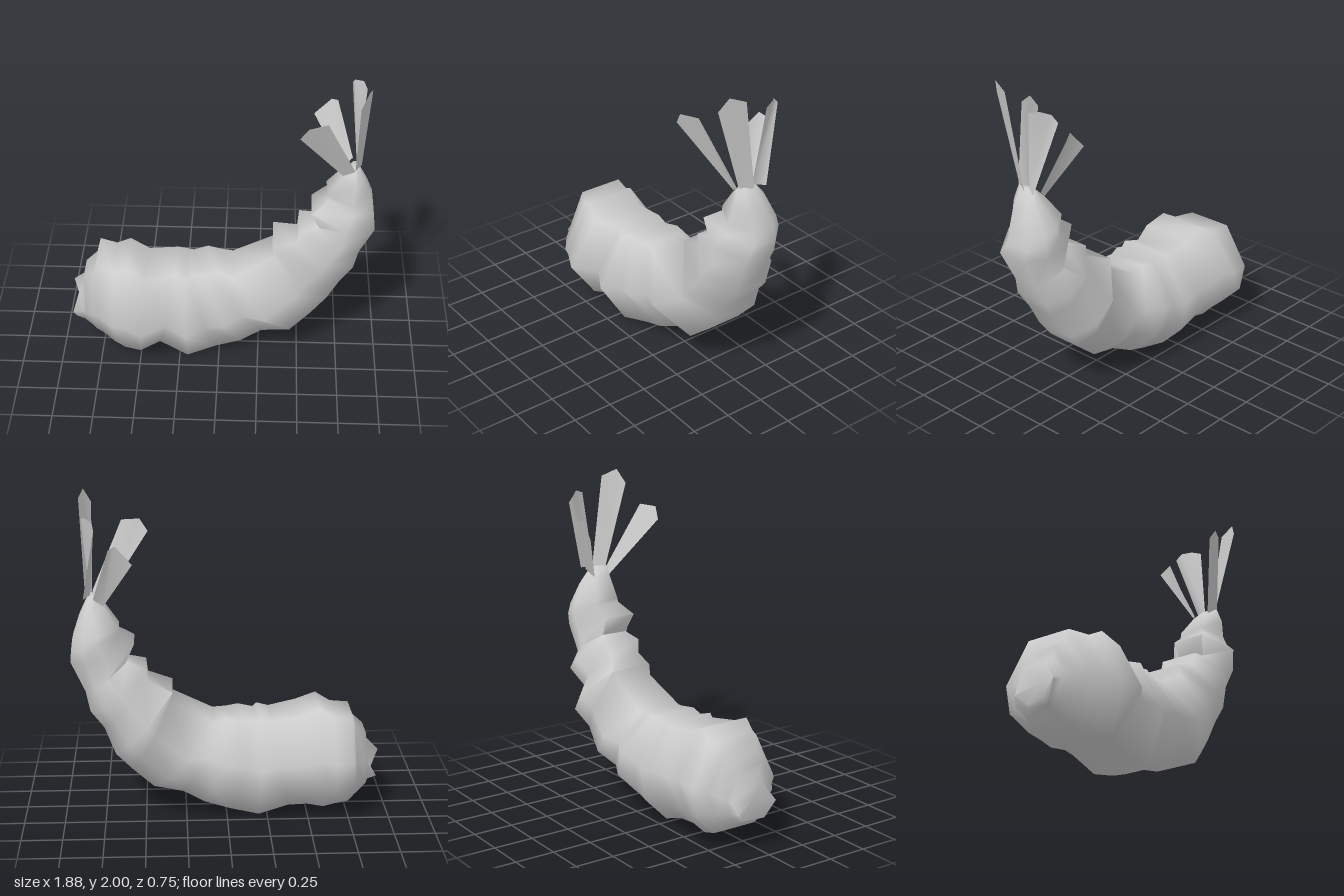
import * as THREE from 'three';
import { toCreasedNormals } from 'three/addons/utils/BufferGeometryUtils.js';

// Cross-section of the body: z and y, each from -1 to 1
const SECTION = [[1, -0.06], [0.52, 1], [-0.45, 1], [-1, 0.14], [-0.9, -0.5], [-0.45, -1], [0.47, -1]];
const SIDES = SECTION.length;

// Body rings from head to tail: top x, top y, bottom x, bottom y, back z, front z
const RINGS = [
  [-0.92, 0.40, -0.90, 0.20, -0.19, 0.10],
  [-0.85, 0.46, -0.87, 0.18, -0.21, 0.11],
  [-0.86, 0.52, -0.83, 0.15, -0.26, 0.14],
  [-0.79, 0.58, -0.79, 0.12, -0.30, 0.18],
  [-0.77, 0.65, -0.75, 0.10, -0.38, 0.22],
  [-0.66, 0.64, -0.67, 0.07, -0.365, 0.29],
  [-0.57, 0.69, -0.60, 0.045, -0.355, 0.32],
  [-0.45, 0.63, -0.50, 0.055, -0.345, 0.37],
  [-0.27, 0.62, -0.38, 0.065, -0.35, 0.26],
  [-0.20, 0.62, -0.20, 0.00, -0.355, 0.33],
  [-0.17, 0.615, -0.02, 0.04, -0.32, 0.25],
  [-0.08, 0.63, 0.14, 0.10, -0.365, 0.28],
  [0.00, 0.63, 0.27, 0.16, -0.30, 0.21],
  [0.08, 0.61, 0.45, 0.20, -0.335, 0.27],
  [0.34, 0.75, 0.58, 0.31, -0.29, 0.20],
  [0.33, 0.82, 0.68, 0.43, -0.355, 0.21],
  [0.48, 0.87, 0.75, 0.57, -0.22, 0.18],
  [0.49, 0.95, 0.83, 0.69, -0.29, 0.22],
  [0.61, 0.98, 0.86, 0.80, -0.19, 0.16],
  [0.56, 1.10, 0.945, 0.99, -0.225, 0.215],
  [0.66, 1.17, 0.94, 1.06, -0.215, 0.14],
  [0.65, 1.20, 0.93, 1.14, -0.20, 0.12],
  [0.74, 1.33, 0.89, 1.26, -0.13, 0.10],
  [0.78, 1.38, 0.83, 1.39, -0.06, 0.07],
];

// Tail blades: two base corners, then the tip corners in order
const FINS = {
  leftFrontFin: [[0.74, 1.34, 0.04], [0.81, 1.39, 0.07], [0.63, 1.8, 0.21], [0.52, 1.795, 0.255], [0.47, 1.72, 0.24]],
  leftBackFin: [[0.74, 1.33, -0.07], [0.8, 1.38, -0.1], [0.7, 1.71, -0.22], [0.66, 1.73, -0.2], [0.56, 1.62, -0.21]],
  rightFrontFin: [[0.81, 1.39, 0.06], [0.85, 1.38, -0.02], [0.88, 1.96, 0.08], [0.855, 2, 0.18], [0.81, 1.91, 0.22]],
  rightBackFin: [[0.82, 1.39, -0.03], [0.86, 1.38, -0.1], [0.78, 1.83, -0.23], [0.79, 1.87, -0.19], [0.84, 1.89, -0.14], [0.86, 1.87, -0.08]],
};

function buildGeometry(points, index) {
  const g = new THREE.BufferGeometry();
  g.setAttribute('position', new THREE.Float32BufferAttribute(points.flat(), 3));
  g.setIndex(index);
  g.computeVertexNormals();
  return g;
}

// Loft the rings and close both ends
function bodyGeometry() {
  const points = [], index = [];
  RINGS.forEach(([tx, ty, bx, by, z0, z1], i) => {
    SECTION.forEach(([sz, sy], j) => {
      // The broken head end is ragged
      const ragged = i === 0 ? (j % 2 ? 0.025 : -0.02) : 0;
      points.push([
        (tx + bx + (tx - bx) * sy) / 2 + ragged,
        (ty + by + (ty - by) * sy) / 2,
        (z0 + z1 + (z1 - z0) * sz) / 2,
      ]);
      if (i === RINGS.length - 1) return;
      const p = i * SIDES + j, q = i * SIDES + ((j + 1) % SIDES);
      index.push(p, p + SIDES, q, q, p + SIDES, q + SIDES);
    });
  });
  const last = (RINGS.length - 1) * SIDES, head = points.length, tail = head + 1;
  points.push([-0.88, 0.31, -0.03], [0.805, 1.39, 0]);
  for (let j = 0; j < SIDES; j++) {
    const k = (j + 1) % SIDES;
    index.push(head, j, k, tail, last + k, last + j);
  }
  return toCreasedNormals(buildGeometry(points, index), 1.7);
}

// Thin blade as a fan of triangles
function finGeometry(points) {
  const index = [];
  for (let i = 1; i < points.length - 1; i++) index.push(0, i, i + 1);
  return buildGeometry(points, index);
}

export function createModel() {
  const group = new THREE.Group();
  const add = (name, geometry, side) => {
    const mesh = new THREE.Mesh(geometry, new THREE.MeshStandardMaterial({ color: 0xcccccc, side }));
    mesh.name = name;
    group.add(mesh);
  };
  add('body', bodyGeometry(), THREE.FrontSide);
  for (const [name, points] of Object.entries(FINS)) add(name, finGeometry(points), THREE.DoubleSide);
  return group;
}
